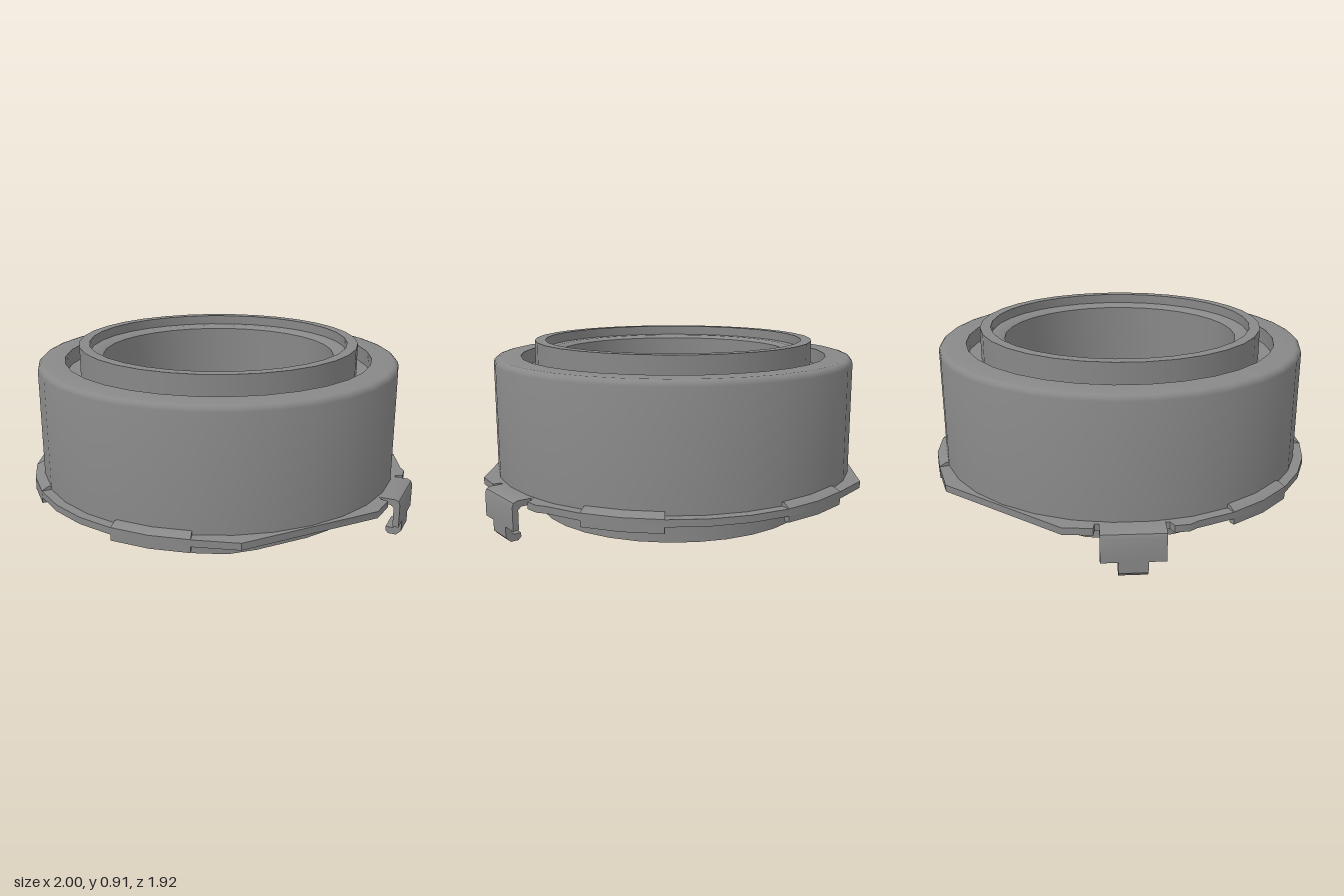
import * as THREE from 'three';
import { toCreasedNormals } from 'three/addons/utils/BufferGeometryUtils.js';

const SIDES = 32;
const CLIP_ANGLE = Math.atan2(0.63, 0.777);
const vectors = (points) => points.map(([x, y]) => new THREE.Vector2(x, y));
const rad = THREE.MathUtils.degToRad;

export function createModel() {
  const model = new THREE.Group();
  model.name = 'lensAdapter';
  const grey = new THREE.MeshStandardMaterial({ color: 0x888888 });
  grey.name = 'grey';

  const add = (parent, name, geometry) => {
    const mesh = new THREE.Mesh(toCreasedNormals(geometry, 0.6), grey);
    mesh.name = name;
    parent.add(mesh);
    return mesh;
  };

  // Outer housing with a rounded shoulder and a groove around the barrel
  add(model, 'housing', new THREE.LatheGeometry(vectors([
    [0.7, 0.2], [0.95, 0.2], [0.95, 0.8], [0.946, 0.815], [0.935, 0.826], [0.92, 0.83],
    [0.81, 0.83], [0.81, 0.75], [0.72, 0.75],
  ]), SIDES));

  // Inner barrel with a stepped bore; its lower collar is flattened front and back
  const barrel = new THREE.LatheGeometry(vectors([
    [0.68, 0.02], [0.735, 0.02], [0.735, 0.2], [0.735, 0.201], [0.735, 0.91], [0.68, 0.91],
    [0.68, 0.86], [0.64, 0.86], [0.61, 0.845], [0.61, 0.055], [0.64, 0.045], [0.68, 0.045], [0.68, 0.02],
  ]), SIDES);
  const p = barrel.attributes.position;
  for (let i = 0; i < p.count; i++) {
    if (p.getY(i) < 0.2005) p.setZ(i, THREE.MathUtils.clamp(p.getZ(i), -0.7, 0.7));
  }
  add(model, 'barrel', barrel);

  // Flange: half outline repeated by a half turn, with flats and clip notches
  const along = (d, t) => [0.63 * d + 0.777 * t, 0.777 * d - 0.63 * t];
  const half = [0, 11.25, 22.5, 33.75].map((a) => [Math.cos(rad(a)), Math.sin(rad(a))]);
  half.push([0.82, 0.6], [0.77, 0.65], along(0.955, 0.17), along(0.955, -0.17), [0.49, 0.885],
    [0.37, 0.962], [-0.37, 0.962]);
  for (const a of [123.75, 135, 146.25, 157.5, 168.75]) half.push([Math.cos(rad(a)), Math.sin(rad(a))]);
  const outline = new THREE.Shape(vectors([...half, ...half.map(([x, z]) => [-x, -z])]));
  outline.holes.push(new THREE.Path().absarc(0, 0, 0.71, 0, Math.PI * 2, true));
  const flange = new THREE.ExtrudeGeometry(outline, { depth: 0.035, bevelEnabled: false, curveSegments: SIDES });
  flange.rotateX(Math.PI / 2).translate(0, 0.225, 0);
  add(model, 'flange', flange);

  // Bayonet tabs: a small profile bent around the flange edge
  const tabProfile = new THREE.Shape(vectors([
    [0.94, 0.19], [0.97, 0.19], [0.97, 0.16], [1, 0.16], [1, 0.226], [0.965, 0.245], [0.94, 0.245],
  ]));
  for (const start of [0, -56.25, 180, 123.75]) {
    const tab = new THREE.ExtrudeGeometry(tabProfile, { depth: 1, steps: 2, bevelEnabled: false });
    const q = tab.attributes.position;
    for (let i = 0; i < q.count; i++) {
      const a = rad(start + 22.5 * q.getZ(i));
      const r = q.getX(i);
      q.setXYZ(i, r * Math.cos(a), q.getY(i), r * Math.sin(a));
    }
    add(model, 'bayonetTab', tab);
  }

  // Spring clips: a wide bent plate with a narrow hook curling inward below it
  const plate = [
    [0.93, 0.195], [1.005, 0.195], [1.02, 0.18], [1.02, 0.08], [1.05, 0.08],
    [1.05, 0.2], [1.043, 0.217], [1.025, 0.226], [0.93, 0.226],
  ];
  const hook = [
    [1.02, 0.1], [1.02, 0.05], [1.008, 0.035], [0.97, 0.035], [0.97, 0.015],
    [0.985, 0], [1.025, 0], [1.05, 0.025], [1.05, 0.1],
  ];
  const bar = (points, width) => new THREE.ExtrudeGeometry(new THREE.Shape(vectors(points)),
    { depth: width, bevelEnabled: false }).translate(0, 0, -width / 2).rotateY(-Math.PI / 2);
  for (const turn of [0, Math.PI]) {
    const clip = new THREE.Group();
    clip.name = 'springClip';
    clip.rotation.y = CLIP_ANGLE + turn;
    add(clip, 'clipPlate', bar(plate, 0.3));
    add(clip, 'clipHook', bar(hook, 0.135));
    model.add(clip);
  }
  return model;
}
